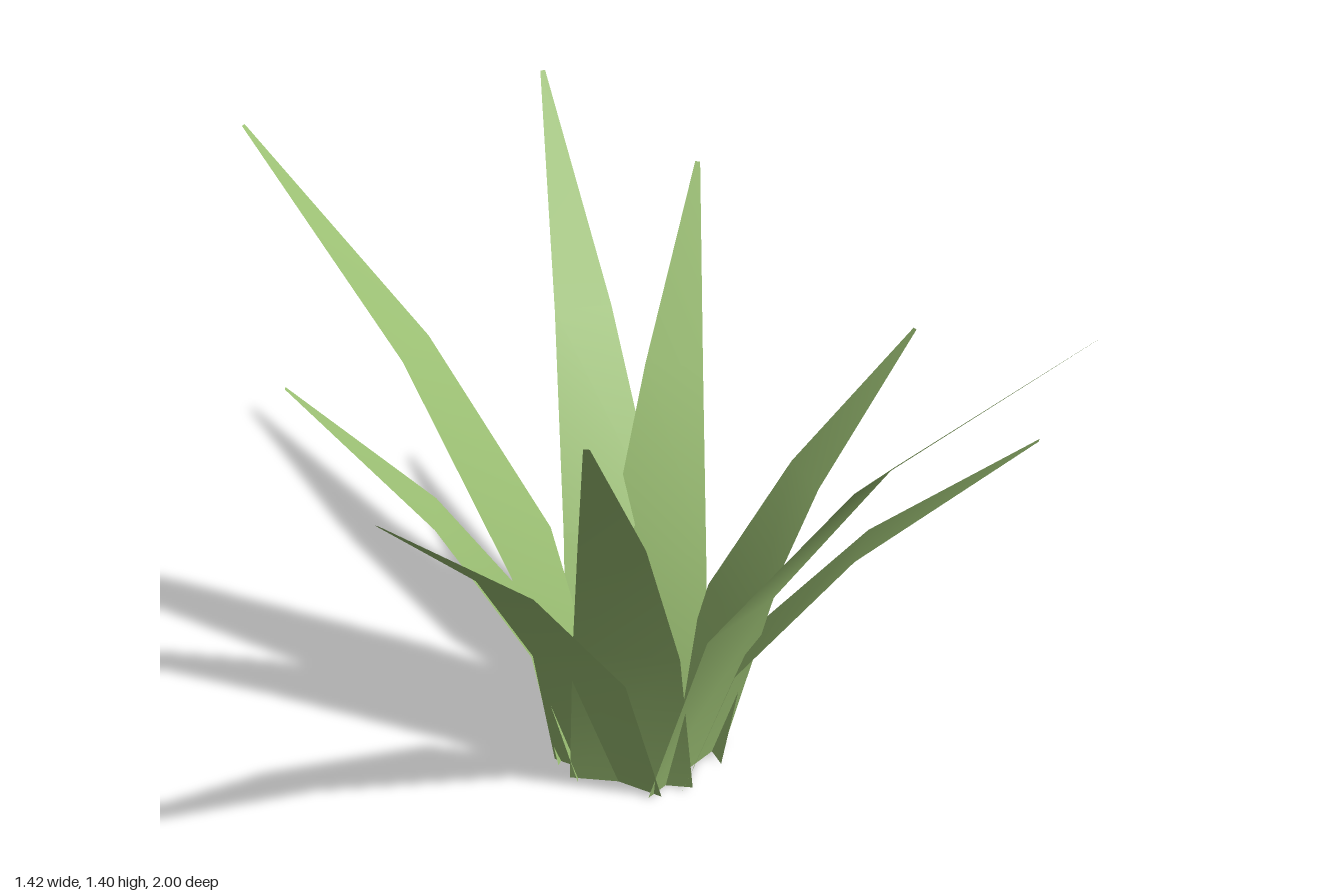
import * as THREE from 'three';

// Clump centre, base radius and half-widths of the four rows of a blade
const CX = 0.055, CZ = 0.06, BASE_R = 0.145;
const HALF_WIDTHS = [0.14, 0.116, 0.068, 0.006];

// Each blade: direction in degrees (0 = +x, 90 = +z), height, radius of tip
const BLADES = [
  [0, 0.95, 0.655],
  [40, 0.95, 0.84],
  [63, 1.4, 1.055],
  [120, 1.25, 0.83],
  [142.5, 1.1, 0.965],
  [200, 0.95, 0.752],
  [223, 1.4, 0.91],
  [-80, 1.25, 1.076],
  [-58, 1.1, 0.852],
];

// Flat tapering strip that bends outward as it rises
function bladeGeometry(degrees, height, tipR) {
  const a = THREE.MathUtils.degToRad(degrees);
  const c = Math.cos(a), s = Math.sin(a);
  const positions = [], index = [];
  HALF_WIDTHS.forEach((w, i) => {
    const t = i / 3;
    const r = BASE_R + (tipR - BASE_R) * Math.pow(t, 1.72);
    for (const side of [-1, 1]) {
      positions.push(CX + c * r - s * w * side, height * t, CZ + s * r + c * w * side);
    }
    if (i < 3) {
      const k = i * 2;
      index.push(k, k + 2, k + 1, k + 1, k + 2, k + 3);
    }
  });
  const g = new THREE.BufferGeometry();
  g.setAttribute('position', new THREE.Float32BufferAttribute(positions, 3));
  g.setIndex(index);
  g.computeVertexNormals();
  return g;
}

export function createModel() {
  const group = new THREE.Group();
  group.name = 'grassClump';
  const leafGreen = new THREE.MeshStandardMaterial({ color: 0x9cc074, side: THREE.DoubleSide });
  leafGreen.name = 'leafGreen';

  // Ring of blades
  BLADES.forEach(([degrees, height, tipR], i) => {
    const blade = new THREE.Mesh(bladeGeometry(degrees, height, tipR), leafGreen);
    blade.name = `blade${i + 1}`;
    group.add(blade);
  });
  return group;
}
